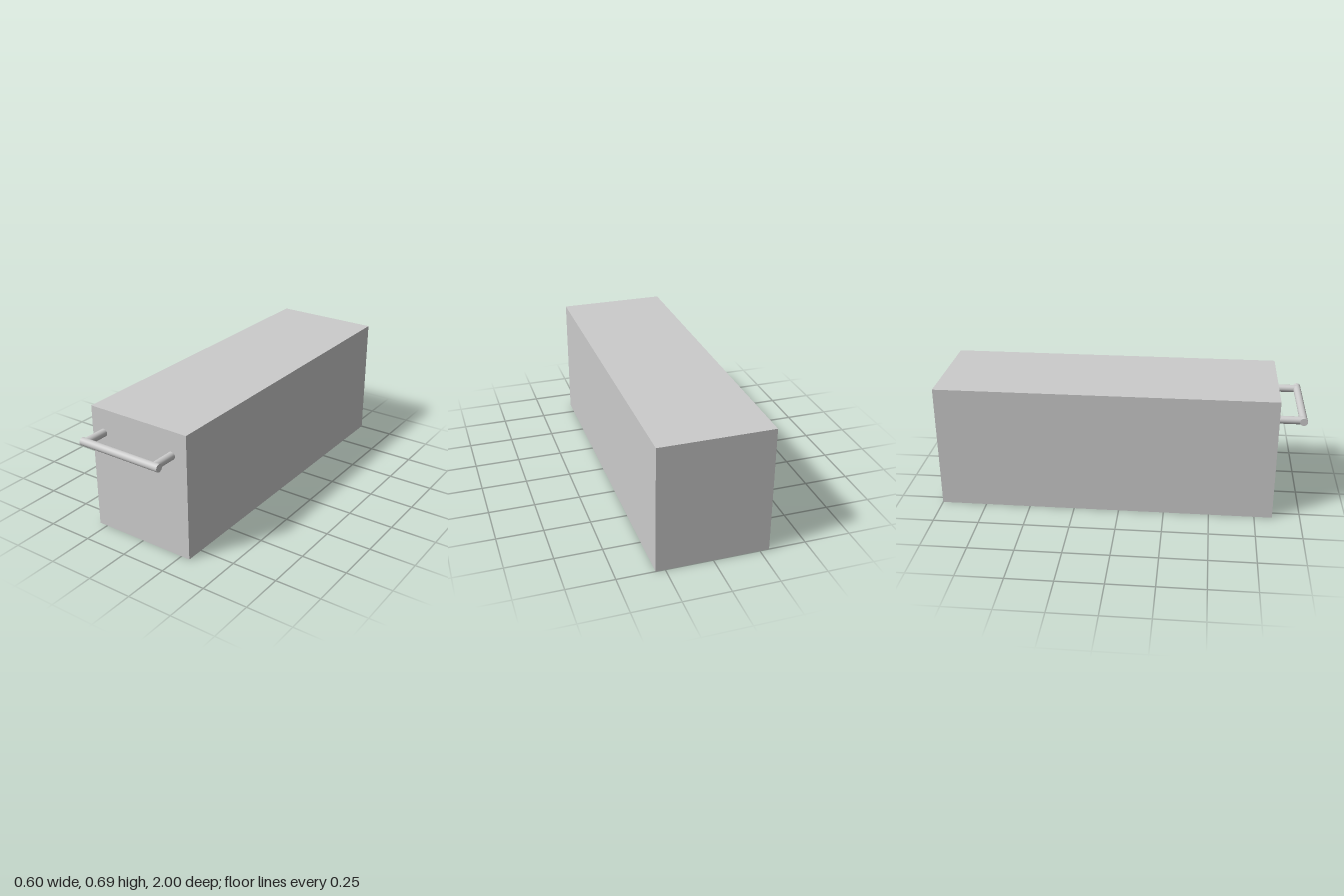
import * as THREE from 'three';

const BODY = { width: 0.6, height: 0.692, back: -1, front: 0.848 };
const BAR = { radius: 0.021, y: 0.561, z: 0.979, left: 0.24, right: -0.248 };

export function createModel() {
  const model = new THREE.Group();
  const material = new THREE.MeshStandardMaterial({ color: 0xcccccc });

  const add = (name, geometry, x, y, z, parent) => {
    const mesh = new THREE.Mesh(geometry, material);
    mesh.name = name;
    mesh.position.set(x, y, z);
    parent.add(mesh);
    return mesh;
  };

  // Drawer body
  const depth = BODY.front - BODY.back;
  add('drawerBody', new THREE.BoxGeometry(BODY.width, BODY.height, depth),
    0, BODY.height / 2, BODY.back + depth / 2, model);

  // Bar handle, set slightly off centre
  const handle = new THREE.Group();
  handle.name = 'handle';
  model.add(handle);

  const barLength = BAR.left - BAR.right;
  const bar = new THREE.CylinderGeometry(BAR.radius, BAR.radius, barLength, 32).rotateZ(Math.PI / 2);
  add('handleBar', bar, (BAR.left + BAR.right) / 2, BAR.y, BAR.z, handle);

  // Posts joining the bar to the drawer front
  const postLength = BAR.z - BODY.front;
  for (const [name, x] of [['leftPost', 0.209], ['rightPost', -0.225]]) {
    const post = new THREE.CylinderGeometry(BAR.radius, BAR.radius, postLength, 32).rotateX(Math.PI / 2);
    add(name, post, x, BAR.y, BODY.front + postLength / 2, handle);
  }

  return model;
}
